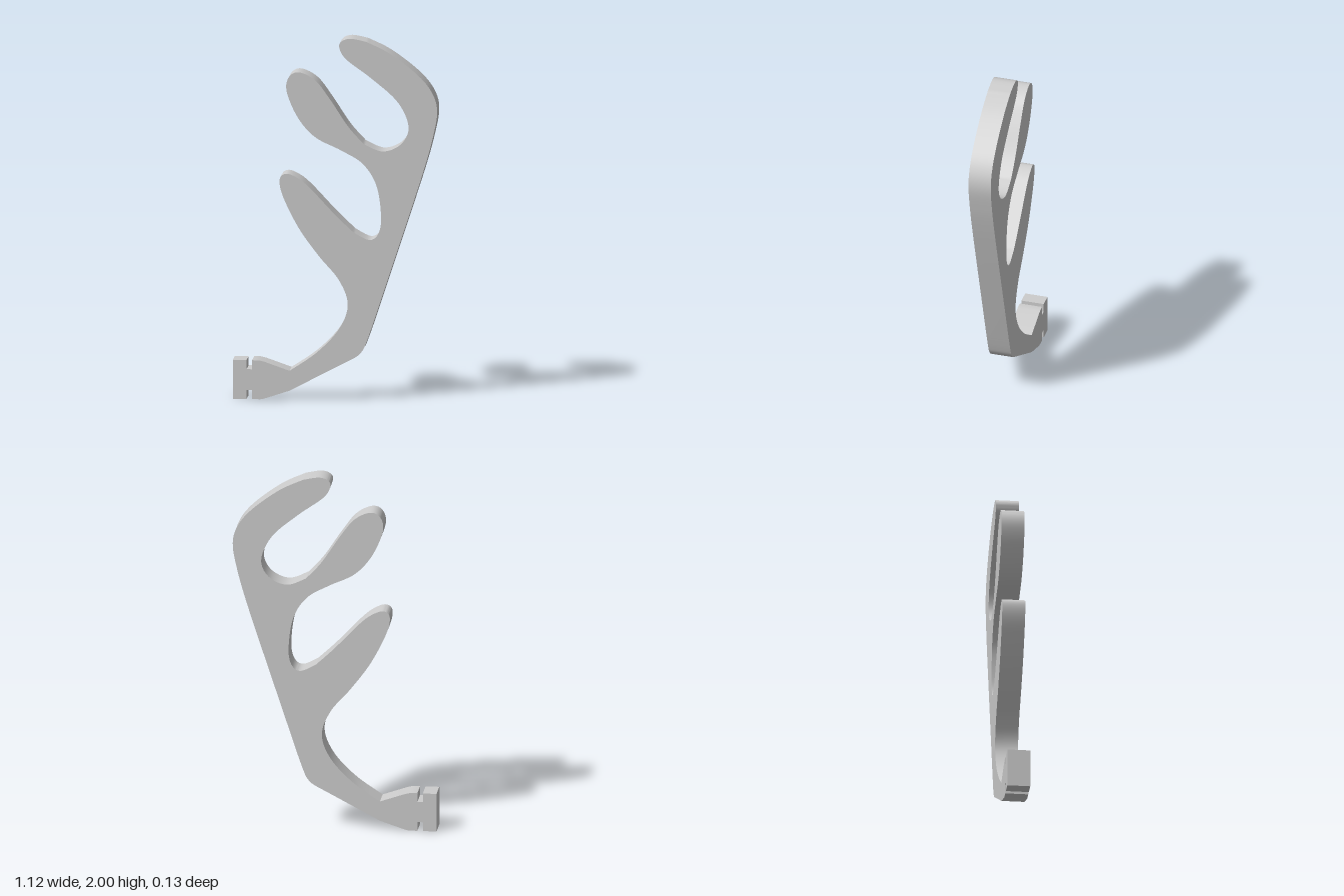
import * as THREE from 'three';
import { toCreasedNormals } from 'three/addons/utils/BufferGeometryUtils.js';

const DEPTH = 0.126;

export function createModel() {
  const group = new THREE.Group();
  const shape = new THREE.Shape();
  const lines = (pts) => pts.forEach(([x, y]) => shape.lineTo(x, y));
  const curve = (pts) => shape.splineThru(pts.map(([x, y]) => new THREE.Vector2(x, y)));

  // Underside of the notched mounting tab
  shape.moveTo(-0.56, 0);
  lines([[-0.485, 0], [-0.485, 0.05], [-0.455, 0.05], [-0.455, 0], [-0.41, 0]]);
  curve([[-0.38, 0.007], [-0.25, 0.05]]);

  // Lower arm, bend and long outer edge
  lines([[0, 0.182], [0.08, 0.224]]);
  curve([[0.12, 0.247], [0.15, 0.28], [0.17, 0.325], [0.2, 0.41]]);
  lines([[0.4, 1.02]]);
  curve([[0.48, 1.27], [0.53, 1.45], [0.556, 1.6], [0.53, 1.705], [0.45, 1.805], [0.3, 1.92], [0.17, 1.984]]);

  // Top tine and the upper hollow
  curve([[0.085, 2], [0.035, 1.985], [0.022, 1.95], [0.06, 1.885], [0.2, 1.78],
    [0.34, 1.655], [0.4, 1.52], [0.36, 1.423], [0.26, 1.38], [0.155, 1.42]]);

  // Middle tine and the middle hollow
  curve([[0.07, 1.515], [-0.03, 1.665], [-0.11, 1.767], [-0.2, 1.81], [-0.255, 1.78],
    [-0.265, 1.7], [-0.205, 1.56], [-0.11, 1.453], [0.03, 1.383], [0.15, 1.31],
    [0.225, 1.19], [0.25, 1.02], [0.235, 0.925], [0.185, 0.89], [0.1, 0.93]]);

  // Lower tine and inner edge of the stem
  curve([[0, 1.025], [-0.14, 1.173], [-0.21, 1.228], [-0.27, 1.248], [-0.304, 1.215],
    [-0.285, 1.12], [-0.2, 0.95], [-0.09, 0.797], [0.02, 0.665], [0.068, 0.53],
    [0.02, 0.395], [-0.1, 0.265], [-0.25, 0.16]]);

  // Top of the mounting tab
  lines([[-0.385, 0.207]]);
  curve([[-0.415, 0.215]]);
  lines([[-0.455, 0.215], [-0.455, 0.165], [-0.485, 0.165], [-0.485, 0.215], [-0.56, 0.215]]);
  shape.closePath();

  const flat = new THREE.ExtrudeGeometry(shape, { depth: DEPTH, bevelEnabled: false, curveSegments: 6 });
  flat.translate(0, 0, -DEPTH / 2);
  const mesh = new THREE.Mesh(toCreasedNormals(flat, 0.4), new THREE.MeshStandardMaterial({ color: 0xcccccc }));
  mesh.name = 'antler';
  group.add(mesh);
  return group;
}
